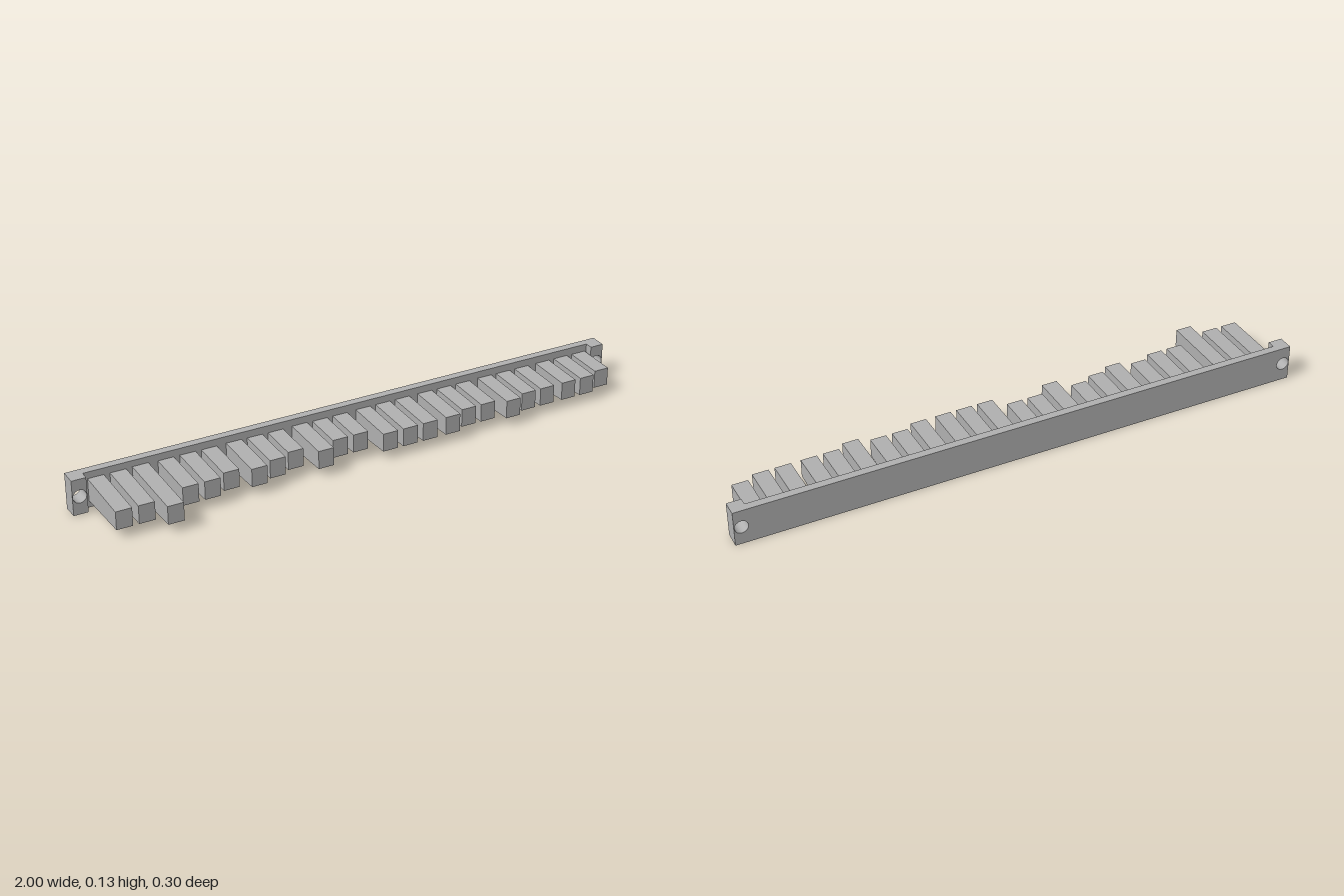
import * as THREE from 'three';

const BACK = -0.148, PLATE = -0.12, FRONT = -0.092; // z of rail back, plate face, end block face
const MID = 0.064; // height of the centre line
const DRAFT = 0.035; // slope of the upper and lower faces

// Narrow a geometry in height towards +z; half height is exact at zRef
function applyDraft(geometry, half, zRef) {
  const p = geometry.attributes.position;
  for (let i = 0; i < p.count; i++) {
    const y = p.getY(i), z = p.getZ(i);
    if (Math.abs(y) > half - 1e-4) p.setY(i, Math.sign(y) * (half - DRAFT * (z - zRef)));
  }
  geometry.computeVertexNormals();
  return geometry;
}

// Upright slab with screw holes, extruded from z0 to z1
function slab(x0, x1, z0, z1, holes) {
  const h = 0.064;
  const shape = new THREE.Shape();
  shape.moveTo(x0, -h).lineTo(x1, -h).lineTo(x1, h).lineTo(x0, h).closePath();
  for (const x of holes) {
    shape.holes.push(new THREE.Path().absarc(x, 0.001, 0.023, 0, Math.PI * 2, true));
  }
  const g = new THREE.ExtrudeGeometry(shape, { depth: z1 - z0, bevelEnabled: false, curveSegments: 16 });
  g.translate(0, 0, z0);
  return applyDraft(g, h, BACK);
}

export function createModel() {
  const model = new THREE.Group();
  model.name = 'peggedRail';
  const grey = new THREE.MeshStandardMaterial({ color: 0xb0b0b0 });
  grey.name = 'plain grey';

  const add = (name, geometry) => {
    const mesh = new THREE.Mesh(geometry, grey);
    mesh.name = name;
    mesh.position.y = MID;
    model.add(mesh);
    return mesh;
  };

  // Long back plate and the raised mounting block at each end
  add('backPlate', slab(-1, 1, BACK, PLATE, [-0.975, 0.975]));
  add('rightEndBlock', slab(-1, -0.95, PLATE, FRONT, [-0.975]));
  add('leftEndBlock', slab(0.95, 1, PLATE, FRONT, [0.975]));

  // Tapered pegs in eight groups of three, each group listing its tip positions
  const A = 0.022, B = 0.043, C = 0.065, D = 0.1, E = 0.148;
  const groups = [[D, D, E], [C, C, B], [C, B, A], [C, A, A], [C, C, C], [C, B, B], [C, B, B], [B, B, A]];
  groups.forEach((tips, g) => tips.forEach((tip, i) => {
    const length = tip - PLATE;
    const geometry = new THREE.BoxGeometry(0.055, 0.064, length);
    geometry.translate(0, 0, PLATE + length / 2);
    const peg = add(`peg${g * 3 + i + 1}`, applyDraft(geometry, 0.032, tip));
    peg.position.x = 0.004 + (g - 3.5) * 0.239 + (i - 1) * 0.0755;
  }));

  return model;
}
